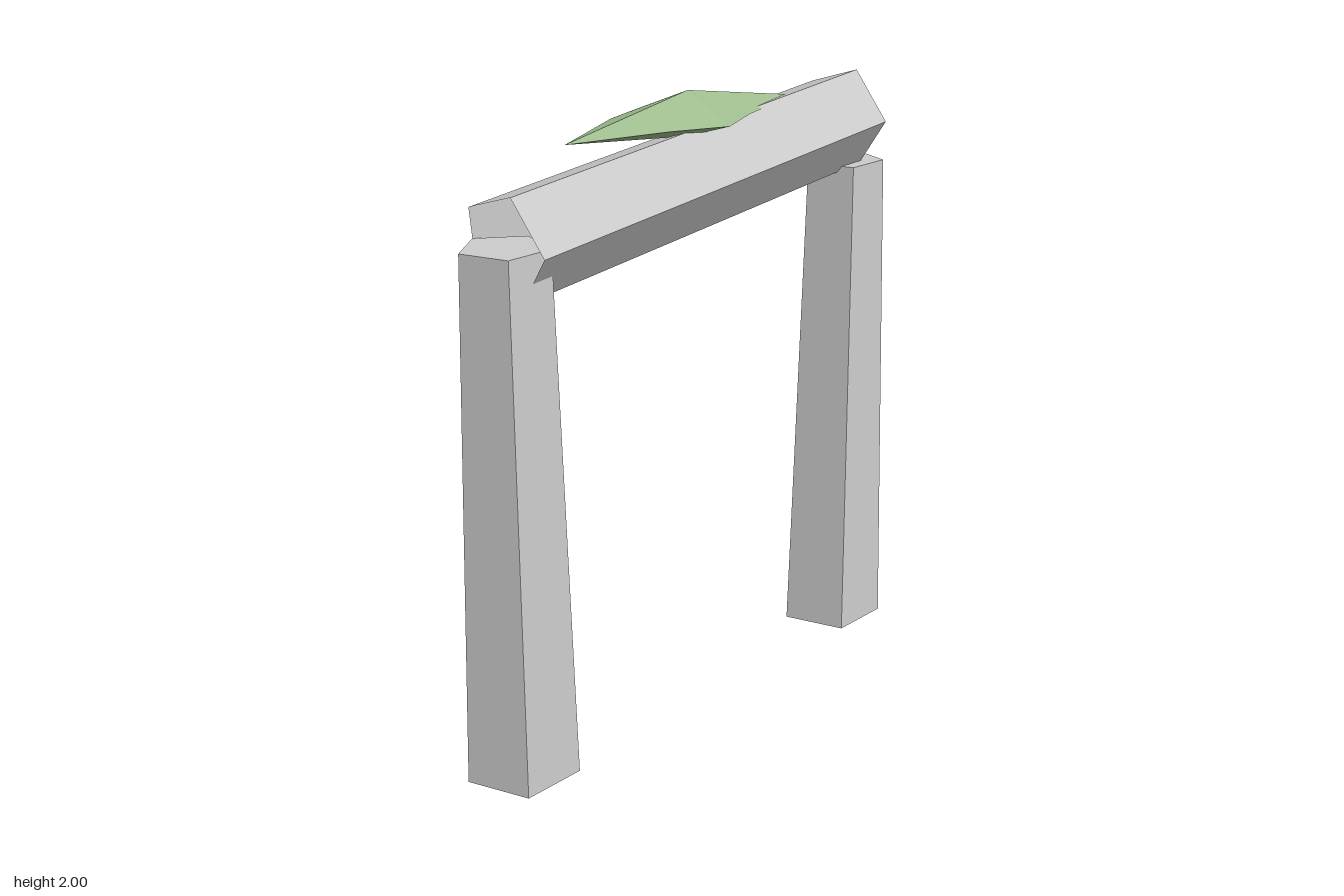
import * as THREE from 'three';

const stone = new THREE.MeshStandardMaterial({ color: 0xcccccc, flatShading: true, side: THREE.DoubleSide });
const moss = new THREE.MeshStandardMaterial({ color: 0x9ebc8e, flatShading: true, side: THREE.DoubleSide });

function addMesh(group, name, geometry, material) {
  const mesh = new THREE.Mesh(geometry, material);
  mesh.name = name;
  group.add(mesh);
  return mesh;
}

// Five-sided stone: closed at the top, open at the base
function stoneGeometry(rTop, rBottom, height, thetaStart) {
  const sides = 5;
  const g = new THREE.CylinderGeometry(rTop, rBottom, height, sides, 1, false, thetaStart);
  const keep = sides * 9; // side walls (6 per side) and top cap (3 per side)
  g.setIndex(Array.from(g.index.array).slice(0, keep));
  g.clearGroups();
  const flat = g.toNonIndexed();
  flat.computeVertexNormals();
  return flat;
}

// Flat faceted clump: an eight-point rim joined to an upper and a lower peak
function clumpGeometry() {
  const rim = [
    [0.505, 1.915, 0.015], [0.19, 1.94, -0.095], [0, 1.918, -0.19], [-0.23, 1.935, -0.08],
    [-0.505, 1.915, 0.015], [-0.18, 1.915, 0.108], [0, 1.915, 0.187], [0.18, 1.915, 0.108],
  ];
  const top = [0, 2, 0.015], bottom = [0, 1.86, 0.015];
  const pos = [];
  rim.forEach((a, i) => {
    const b = rim[(i + 1) % rim.length];
    pos.push(...top, ...a, ...b, ...bottom, ...b, ...a);
  });
  const g = new THREE.BufferGeometry();
  g.setAttribute('position', new THREE.Float32BufferAttribute(pos, 3));
  g.computeVertexNormals();
  return g;
}

export function createModel() {
  const group = new THREE.Group();
  group.name = 'stoneArch';

  // Tapered pillars, flat side to the front
  const height = 1.667;
  for (const [name, s] of [['leftPillar', 1], ['rightPillar', -1]]) {
    const pillar = addMesh(group, name, stoneGeometry(0.135, 0.18, height, Math.PI), stone);
    pillar.position.set(s * 0.748, height / 2, 0.02);
  }

  // Tilted lintel, one edge to the front
  const lintel = addMesh(group, 'lintel', stoneGeometry(0.166, 0.166, 1.51, 0), stone);
  lintel.position.set(0, 1.74, 0.025);
  lintel.rotation.z = -Math.PI / 2 + 0.1;

  // Moss on top of the lintel
  addMesh(group, 'mossClump', clumpGeometry(), moss);

  return group;
}
